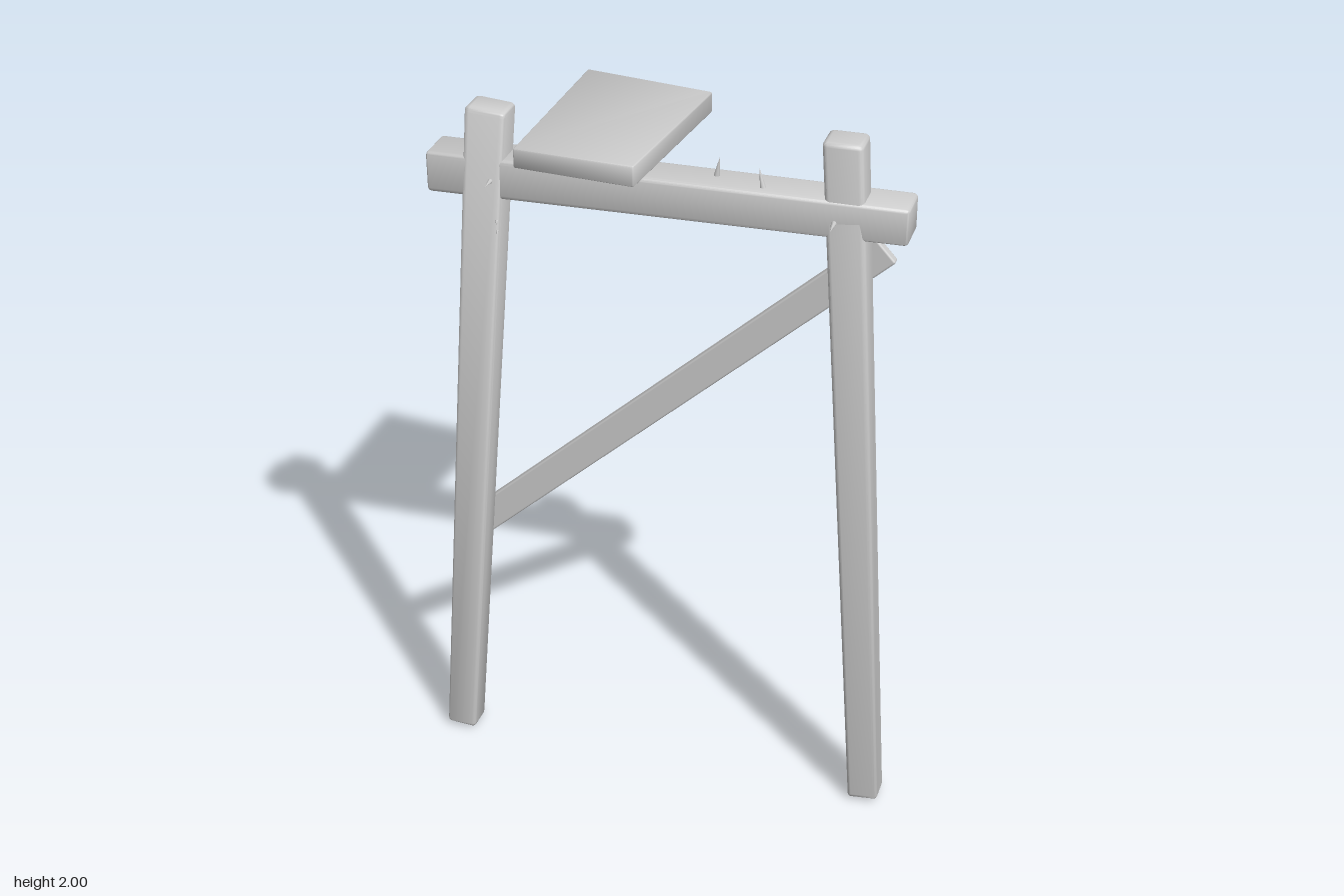
import * as THREE from 'three';
import { RoundedBoxGeometry } from 'three/addons/geometries/RoundedBoxGeometry.js';
import { toCreasedNormals } from 'three/addons/utils/BufferGeometryUtils.js';

const wood = new THREE.MeshStandardMaterial({ color: 0xcccccc });
wood.name = 'pale grey';

// Rounded timber stretched onto eight corners.
// Corner order: bottom (back -x, back +x, front -x, front +x), then the same for the top.
function timber(name, size, radius, corners) {
  const [w, h, d] = size;
  const geo = new RoundedBoxGeometry(w, h, d, 2, radius);
  const c = corners.map((p) => new THREE.Vector3(...p));
  const pos = geo.attributes.position;
  const out = new THREE.Vector3();
  for (let i = 0; i < pos.count; i++) {
    const u = pos.getX(i) / w + 0.5;
    const v = pos.getY(i) / h + 0.5;
    const t = pos.getZ(i) / d + 0.5;
    out.set(0, 0, 0);
    c.forEach((corner, k) => {
      const weight = (k & 1 ? u : 1 - u) * (k & 2 ? t : 1 - t) * (k & 4 ? v : 1 - v);
      out.addScaledVector(corner, weight);
    });
    pos.setXYZ(i, out.x, out.y, out.z);
  }
  const mesh = new THREE.Mesh(toCreasedNormals(geo, 0.7), wood);
  mesh.name = name;
  return mesh;
}

// Pointed nail running from its base to its tip
function nail(name, base, tip, radius = 0.009) {
  const a = new THREE.Vector3(...base);
  const dir = new THREE.Vector3(...tip).sub(a);
  const length = dir.length();
  const geo = new THREE.ConeGeometry(radius, length, 8);
  geo.translate(0, length / 2, 0);
  const mesh = new THREE.Mesh(geo, wood);
  mesh.name = name;
  mesh.position.copy(a);
  mesh.quaternion.setFromUnitVectors(new THREE.Vector3(0, 1, 0), dir.normalize());
  return mesh;
}

export function createModel() {
  const group = new THREE.Group();
  group.name = 'timberFrame';

  // Two splayed, tapering legs
  group.add(timber('rightLeg', [0.1, 1.98, 0.09], 0.013, [
    [-0.66, 0.01, 0.205], [-0.573, 0.003, 0.205], [-0.66, 0.015, 0.292], [-0.573, 0.008, 0.292],
    [-0.54, 1.985, 0.113], [-0.427, 1.975, 0.113], [-0.54, 1.985, 0.206], [-0.427, 1.975, 0.206],
  ]));
  group.add(timber('leftLeg', [0.1, 2, 0.09], 0.013, [
    [0.57, 0, 0.2], [0.657, 0.01, 0.2], [0.57, 0.008, 0.288], [0.657, 0.016, 0.288],
    [0.411, 2, 0.102], [0.517, 2, 0.102], [0.411, 2, 0.197], [0.517, 2, 0.197],
  ]));

  // Cross beam
  group.add(timber('crossBeam', [1.3, 0.11, 0.115], 0.012, [
    [-0.655, 1.73, 0.09], [0.645, 1.744, 0.09], [-0.655, 1.73, 0.212], [0.645, 1.744, 0.206],
    [-0.655, 1.845, 0.09], [0.645, 1.847, 0.09], [-0.655, 1.845, 0.212], [0.645, 1.847, 0.206],
  ]));

  // Skewed board lying on the beam
  group.add(timber('board', [0.35, 0.055, 0.54], 0.005, [
    [-0.37, 1.855, -0.297], [0, 1.845, -0.258], [-0.397, 1.843, 0.238], [-0.057, 1.848, 0.275],
    [-0.37, 1.914, -0.297], [0, 1.905, -0.258], [-0.397, 1.898, 0.238], [-0.057, 1.907, 0.275],
  ]));

  // Diagonal brace behind the legs
  const brace = new THREE.Mesh(new RoundedBoxGeometry(1.59, 0.088, 0.028, 2, 0.006), wood);
  brace.name = 'diagonalBrace';
  brace.position.set(-0.02, 1.15, 0.102);
  brace.rotation.z = THREE.MathUtils.degToRad(42);
  group.add(brace);

  // Nails through the brace, beam and legs
  group.add(nail('braceNailLow', [-0.553, 0.657, 0.085], [-0.553, 0.657, 0.035]));
  group.add(nail('braceNailHigh', [0.5, 1.642, 0.085], [0.5, 1.642, 0.035]));
  group.add(nail('beamNailRight', [-0.472, 1.786, 0.2], [-0.472, 1.786, 0.255]));
  group.add(nail('beamNailLeft', [0.452, 1.786, 0.195], [0.454, 1.786, 0.257]));
  group.add(nail('legNailUpper', [-0.462, 1.675, 0.205], [-0.452, 1.67, 0.234], 0.007));
  group.add(nail('legNailLower', [-0.462, 1.645, 0.205], [-0.452, 1.642, 0.234], 0.007));

  // Nails standing up from the beam
  group.add(nail('topNailInner', [0.124, 1.842, 0.137], [0.133, 1.9, 0.14]));
  group.add(nail('topNailOuter', [0.258, 1.842, 0.174], [0.246, 1.897, 0.17]));

  return group;
}
